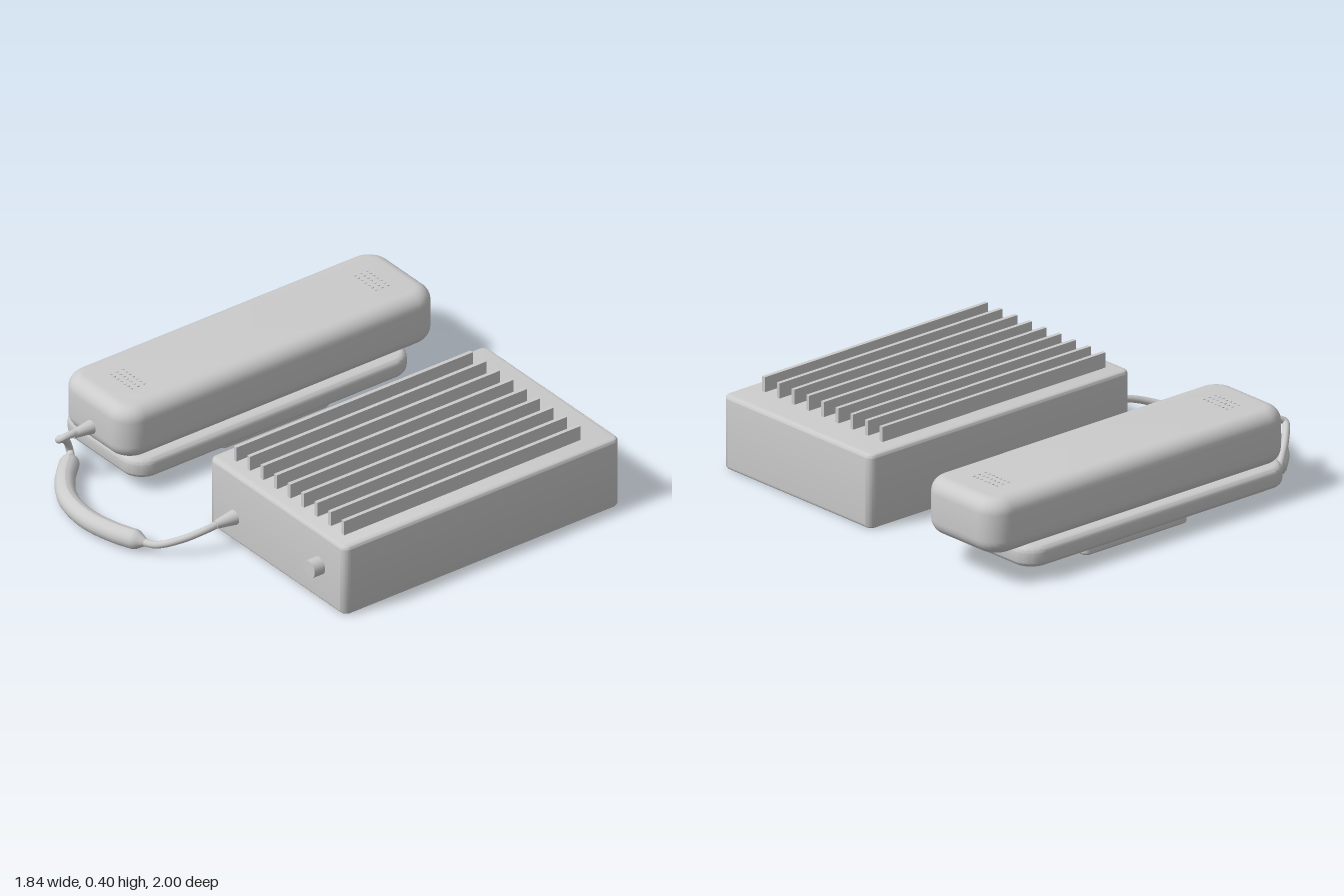
import * as THREE from 'three';
import { toCreasedNormals } from 'three/addons/utils/BufferGeometryUtils.js';

const material = new THREE.MeshStandardMaterial({ color: 0xcccccc });

function add(parent, name, geometry, x = 0, y = 0, z = 0) {
  const mesh = new THREE.Mesh(geometry, material);
  mesh.name = name;
  mesh.position.set(x, y, z);
  parent.add(mesh);
  return mesh;
}

// Block with rounded plan corners (r) and rounded top and bottom edges (bevel)
function slab(parent, name, [x0, x1], [y0, y1], [z0, z1], r, bevel) {
  const a = (x1 - x0) / 2 - bevel, b = (z1 - z0) / 2 - bevel, c = r - bevel;
  const s = new THREE.Shape();
  s.absarc(a - c, b - c, c, 0, Math.PI / 2);
  s.absarc(c - a, b - c, c, Math.PI / 2, Math.PI);
  s.absarc(c - a, c - b, c, Math.PI, Math.PI * 1.5);
  s.absarc(a - c, c - b, c, Math.PI * 1.5, Math.PI * 2);
  s.closePath();
  const g = new THREE.ExtrudeGeometry(s, {
    depth: y1 - y0 - 2 * bevel, bevelThickness: bevel, bevelSize: bevel, bevelSegments: 7, curveSegments: 8,
  });
  g.translate(0, 0, bevel).rotateX(-Math.PI / 2);
  return add(parent, name, toCreasedNormals(g, 0.6), (x0 + x1) / 2, y0, (z0 + z1) / 2);
}

// Tube along points whose radius follows radiusAt(t)
function cord(parent, name, points, segments, radiusAt) {
  const curve = new THREE.CatmullRomCurve3(points.map((p) => new THREE.Vector3(...p)));
  const sides = 16;
  const g = new THREE.TubeGeometry(curve, segments, 1, sides);
  const pos = g.attributes.position, v = new THREE.Vector3();
  for (let i = 0; i < pos.count; i++) {
    const t = Math.floor(i / (sides + 1)) / segments;
    const centre = curve.getPointAt(t);
    v.fromBufferAttribute(pos, i).sub(centre).multiplyScalar(radiusAt(t)).add(centre);
    pos.setXYZ(i, v.x, v.y, v.z);
  }
  g.computeVertexNormals();
  return add(parent, name, g);
}

// Cylinder or cone pointing to the front, starting at z
function frontPeg(parent, name, rBack, rFront, length, x, y, z) {
  const g = new THREE.CylinderGeometry(rFront, rBack, length, 28).rotateX(Math.PI / 2);
  return add(parent, name, g, x, y, z + length / 2);
}

export function createModel() {
  const model = new THREE.Group();
  model.name = 'intercomHandsetAndUnit';

  // Main unit with cooling fins and knob
  const unit = new THREE.Group();
  unit.name = 'mainUnit';
  model.add(unit);
  slab(unit, 'unitBody', [-0.02, 0.915], [0, 0.335], [-0.93, 0.53], 0.035, 0.018);
  for (let i = 0; i < 9; i++) {
    add(unit, 'coolingFin', new THREE.BoxGeometry(0.018, 0.08, 1.25), 0.076 + i * 0.0927, 0.363, -0.16);
  }
  frontPeg(unit, 'knob', 0.04, 0.04, 0.065, 0.74, 0.17, 0.52);
  frontPeg(unit, 'unitStrainRelief', 0.035, 0.018, 0.11, 0.155, 0.12, 0.52);

  // Handset resting on its cradle
  const phone = new THREE.Group();
  phone.name = 'handsetAndCradle';
  model.add(phone);
  slab(phone, 'handset', [-0.877, -0.413], [0.14, 0.39], [-1, 0.67], 0.11, 0.065);
  slab(phone, 'cradle', [-0.92, -0.375], [0.06, 0.155], [-0.84, 0.635], 0.1, 0.03);
  slab(phone, 'cradleFoot', [-0.84, -0.45], [0, 0.075], [-0.45, 0.13], 0.03, 0.012);
  frontPeg(phone, 'handsetStrainRelief', 0.032, 0.018, 0.11, -0.647, 0.225, 0.66);

  // Small raised dots over the speaker and the microphone
  for (const z of [0.48, -0.81]) {
    for (let row = -1; row <= 1; row++) {
      for (let col = -3; col <= 3; col++) {
        add(phone, 'grilleDot', new THREE.CylinderGeometry(0.006, 0.006, 0.006, 8),
          -0.645 + col * 0.024, 0.39, z + row * 0.032);
      }
    }
  }

  // Thin cord ends and the thick sleeve between them
  const cable = new THREE.Group();
  cable.name = 'cable';
  model.add(cable);
  const thin = () => 0.016;
  cord(cable, 'handsetCord', [
    [-0.647, 0.225, 0.72], [-0.645, 0.23, 0.79], [-0.66, 0.215, 0.825], [-0.72, 0.17, 0.775],
    [-0.775, 0.1, 0.7], [-0.78, 0.045, 0.68], [-0.74, 0.045, 0.705], [-0.69, 0.047, 0.75],
  ], 60, thin);
  cord(cable, 'cordSleeve', [
    [-0.735, 0.047, 0.705], [-0.69, 0.047, 0.755], [-0.6, 0.047, 0.845], [-0.47, 0.047, 0.925],
    [-0.31, 0.047, 0.954], [-0.15, 0.047, 0.93], [-0.005, 0.047, 0.875],
  ], 60, (t) => Math.min(0.044, 0.016 + 0.5 * Math.min(t, 1 - t)));
  cord(cable, 'unitCord', [
    [-0.03, 0.047, 0.887], [0.04, 0.05, 0.855], [0.11, 0.08, 0.775],
    [0.15, 0.11, 0.68], [0.155, 0.12, 0.6],
  ], 40, thin);

  return model;
}
